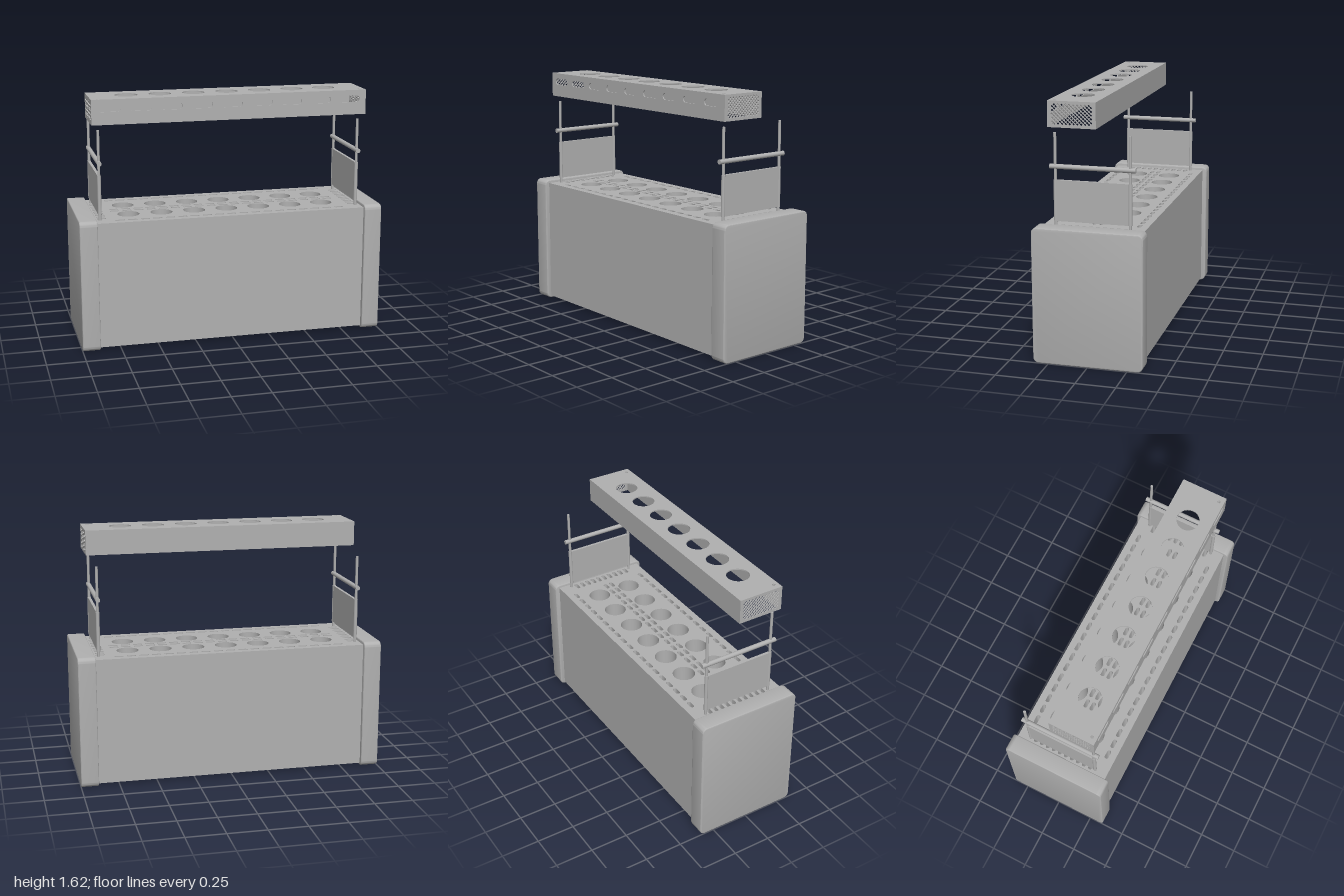
import * as THREE from 'three';
import { toCreasedNormals } from 'three/addons/utils/BufferGeometryUtils.js';

const metal = new THREE.MeshStandardMaterial({ color: 0xb0b0b0 });
metal.name = 'grey metal';

function add(parent, name, geometry, x = 0, y = 0, z = 0) {
  const mesh = new THREE.Mesh(geometry, metal);
  mesh.name = name;
  mesh.position.set(x, y, z);
  parent.add(mesh);
  return mesh;
}

function rect(w, h) {
  return new THREE.Shape([[-w, -h], [w, -h], [w, h], [-w, h]]
    .map(([x, y]) => new THREE.Vector2(x / 2, y / 2)));
}

function roundHole(shape, x, y, r) {
  shape.holes.push(new THREE.Path().absarc(x, y, r, 0, Math.PI * 2, true));
}

// Slot with rounded ends, w wide and h high
function slotHole(shape, x, y, w, h) {
  const r = Math.min(w, h) / 2, a = w / 2 - r, b = h / 2 - r, p = new THREE.Path();
  if (w > h) {
    p.absarc(x + a, y, r, Math.PI / 2, -Math.PI / 2, true);
    p.absarc(x - a, y, r, -Math.PI / 2, -Math.PI * 1.5, true);
  } else {
    p.absarc(x, y + b, r, Math.PI, 0, true);
    p.absarc(x, y - b, r, 0, -Math.PI, true);
  }
  p.closePath();
  shape.holes.push(p);
}

function extrude(shape, depth, curveSegments = 12) {
  return toCreasedNormals(
    new THREE.ExtrudeGeometry(shape, { depth, bevelEnabled: false, curveSegments }), 0.6);
}

// Row of seven large holes, at shape height y
function cupHoles(shape, y) {
  for (let i = -3; i <= 3; i++) roundHole(shape, i * 0.218, y, 0.072);
}

function roundedRect(w, h, r) {
  const s = new THREE.Shape(), a = w / 2 - r, b = h / 2 - r;
  s.absarc(a, b, r, 0, Math.PI / 2);
  s.absarc(-a, b, r, Math.PI / 2, Math.PI);
  s.absarc(-a, -b, r, Math.PI, Math.PI * 1.5);
  s.absarc(a, -b, r, Math.PI * 1.5, Math.PI * 2);
  s.closePath();
  return s;
}

function buildBody(root) {
  const body = new THREE.Group();
  body.name = 'body';
  root.add(body);

  // Block with deep cup wells and rows of vent slots
  const top = rect(1.78, 0.635);
  cupHoles(top, 0.12);
  cupHoles(top, -0.115);
  for (const y of [-0.26, -0.022, 0.022, 0.26]) {
    for (let i = -9; i <= 9; i++) slotHole(top, i * 0.081, y, 0.06, 0.026);
  }
  for (const x of [-0.84, 0.84]) {
    for (let i = 0; i < 10; i++) slotHole(top, x, -0.198 + i * 0.044, 0.06, 0.026);
  }
  add(body, 'perforatedBlock', extrude(top, 0.805, 10).rotateX(-Math.PI / 2), 0, 0.035, 0);
  add(body, 'floor', new THREE.BoxGeometry(1.78, 0.02, 0.635), 0, 0.025, 0);

  // End caps with softened edges
  const bevel = 0.006;
  const cap = toCreasedNormals(new THREE.ExtrudeGeometry(
    roundedRect(0.694 - 2 * bevel, 0.86 - 2 * bevel, 0.028),
    { depth: 0.115 - 2 * bevel, bevelSize: bevel, bevelThickness: bevel, bevelSegments: 3, curveSegments: 6 }), 0.6);
  cap.rotateY(Math.PI / 2).center();
  for (const side of [-1, 1]) {
    add(body, side > 0 ? 'leftEndCap' : 'rightEndCap', cap, side * 0.9425, 0.43, 0);
  }
}

function buildSupport(root, side) {
  const support = new THREE.Group();
  support.name = side > 0 ? 'leftSupport' : 'rightSupport';
  support.position.x = side * 0.855;
  root.add(support);

  add(support, 'sidePanel', new THREE.BoxGeometry(0.018, 0.255, 0.47), 0, 1.0025, 0);
  for (const z of [-0.233, 0.233]) {
    add(support, 'upright', new THREE.CylinderGeometry(0.009, 0.009, 0.6, 16), 0, 1.12, z);
    add(support, 'panelSleeve', new THREE.CylinderGeometry(0.012, 0.012, 0.255, 16), 0, 1.0025, z);
  }
  add(support, 'crossbar', new THREE.CylinderGeometry(0.015, 0.015, 0.535, 20).rotateX(Math.PI / 2), 0, 1.212, 0);
}

function buildHood(root) {
  const hood = new THREE.Group();
  hood.name = 'hood';
  hood.position.set(0, 1.537, 0.115);
  root.add(hood);
  const W = 1.794, H = 0.16, D = 0.3, t = 0.008;

  // Top with cup holes and two rod holes
  const top = rect(W, D);
  cupHoles(top, 0);
  for (const x of [-0.855, 0.855]) roundHole(top, x, -0.118, 0.01);
  add(hood, 'hoodTop', extrude(top, t).rotateX(-Math.PI / 2), 0, H / 2 - t, 0);

  // Slotted front and plain back, open underneath
  const front = rect(W, H - t);
  for (let i = -4; i <= 4; i++) slotHole(front, i * 0.196, 0.026, 0.142, 0.042);
  add(hood, 'hoodFront', extrude(front, t), 0, -t / 2, D / 2 - t);
  add(hood, 'hoodBack', new THREE.BoxGeometry(W, H - t, t), 0, -t / 2, -D / 2 + t / 2);

  // End grilles of staggered diamond holes
  const end = rect(D - 2 * t, H - t);
  const pitch = 0.0225, r = 0.0088;
  for (let row = -5; row <= 5; row++) {
    for (let col = -10; col <= 10; col++) {
      if ((row + col) % 2) continue;
      const x = col * pitch / 2 * 1.06, y = row * pitch / 2 + 0.004;
      const p = new THREE.Path();
      p.setFromPoints([[x - r, y], [x, y + r], [x + r, y], [x, y - r], [x - r, y]]
        .map(([a, b]) => new THREE.Vector2(a, b)));
      end.holes.push(p);
    }
  }
  const grille = extrude(end, t).rotateY(Math.PI / 2);
  add(hood, 'rightGrille', grille, -W / 2, -t / 2, 0);
  add(hood, 'leftGrille', grille, W / 2 - t, -t / 2, 0);
}

export function createModel() {
  const root = new THREE.Group();
  root.name = 'bottleRack';
  buildBody(root);
  for (const side of [-1, 1]) buildSupport(root, side);
  buildHood(root);
  return root;
}
